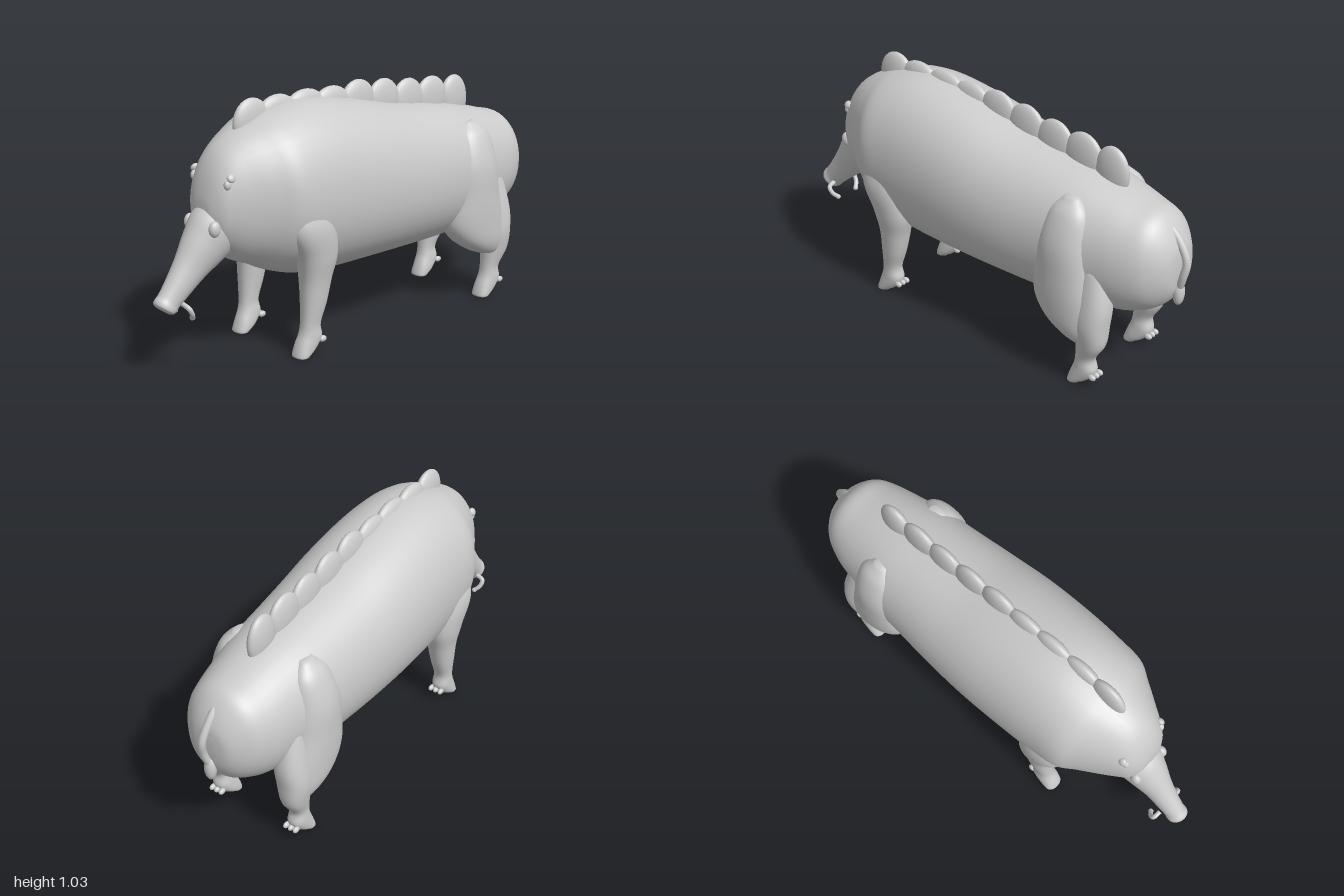
import * as THREE from 'three';

const material = new THREE.MeshStandardMaterial({ color: 0xcccccc, roughness: 0.8 });
const N = 40;

// Smooth skin over rings [x, y, z, half width, half depth, tilt in degrees, squareness];
// tilt 0 = upright ring travelling +z, tilt 90 = flat ring travelling down.
function loft(rings, steps = 6, power = 2) {
  const centres = new THREE.CatmullRomCurve3(rings.map(r => new THREE.Vector3(r[0], r[1], r[2])), false, 'catmullrom');
  const sizes = new THREE.CatmullRomCurve3(rings.map(r => new THREE.Vector3(r[3], r[4], r[5])), false, 'catmullrom');
  const rows = (rings.length - 1) * steps;
  const bend = v => Math.sign(v) * Math.abs(v) ** (2 / power);
  const pos = [], index = [];
  for (let i = 0; i <= rows; i++) {
    const c = centres.getPoint(i / rows), s = sizes.getPoint(i / rows);
    const t = THREE.MathUtils.degToRad(s.z);
    for (let j = 0; j < N; j++) {
      const q = j / N * Math.PI * 2;
      const u = bend(Math.cos(q)) * Math.max(s.x, 0.002), v = bend(Math.sin(q)) * Math.max(s.y, 0.002);
      pos.push(c.x + u, c.y + v * Math.cos(t), c.z + v * Math.sin(t));
      if (i < rows) {
        const a = i * N + j, b = i * N + (j + 1) % N;
        index.push(a, b, b + N, a, b + N, a + N);
      }
    }
  }
  // end caps
  const first = rings[0], last = rings[rings.length - 1], k = pos.length / 3;
  pos.push(...first.slice(0, 3), ...last.slice(0, 3));
  for (let j = 0; j < N; j++) {
    const n = (j + 1) % N;
    index.push(k, n, j, k + 1, rows * N + j, rows * N + n);
  }
  const g = new THREE.BufferGeometry();
  g.setAttribute('position', new THREE.Float32BufferAttribute(pos, 3));
  g.setIndex(index);
  g.computeVertexNormals();
  return g;
}

function tube(points, radius) {
  const curve = new THREE.CatmullRomCurve3(points.map(p => new THREE.Vector3(...p)));
  return new THREE.TubeGeometry(curve, 24, radius, 10);
}

export function createModel() {
  const group = new THREE.Group();
  const add = (name, geometry, parent = group) => {
    const mesh = new THREE.Mesh(geometry, material);
    mesh.name = name;
    parent.add(mesh);
    return mesh;
  };
  const blob = (name, x, y, z, rx, ry, rz, parent) => {
    const mesh = add(name, new THREE.SphereGeometry(1, 24, 16), parent);
    mesh.position.set(x, y, z);
    mesh.scale.set(rx, ry, rz);
    return mesh;
  };

  // trunk and head: z, underside, back line, half width
  const body = [
    [-0.955, 0.53, 0.60, 0.03], [-0.945, 0.46, 0.66, 0.085], [-0.91, 0.40, 0.725, 0.135],
    [-0.86, 0.36, 0.775, 0.175], [-0.78, 0.325, 0.797, 0.205], [-0.68, 0.305, 0.825, 0.225],
    [-0.55, 0.29, 0.855, 0.25], [-0.4, 0.28, 0.88, 0.262], [-0.2, 0.28, 0.912, 0.28],
    [0, 0.28, 0.96, 0.29], [0.2, 0.282, 0.995, 0.287], [0.35, 0.295, 1.0, 0.28],
    [0.48, 0.335, 0.975, 0.268], [0.56, 0.375, 0.945, 0.222], [0.64, 0.41, 0.905, 0.172],
    [0.7, 0.455, 0.855, 0.135], [0.74, 0.50, 0.785, 0.105], [0.765, 0.56, 0.70, 0.06], [0.772, 0.61, 0.64, 0.02],
  ].map(([z, lo, hi, w]) => [0, (lo + hi) / 2, z, w, (hi - lo) / 2, 0]);
  add('body', loft(body, 5, 2.12));

  // long tapering snout with a flared nose disc
  add('snout', loft([
    [0, 0.63, 0.6, 0.1, 0.1, 35], [0, 0.555, 0.7, 0.1, 0.115, 42], [0, 0.49, 0.765, 0.082, 0.098, 46],
    [0, 0.42, 0.83, 0.06, 0.074, 48], [0, 0.355, 0.89, 0.049, 0.058, 48], [0, 0.31, 0.933, 0.043, 0.05, 48],
    [0, 0.293, 0.95, 0.045, 0.05, 50], [0, 0.283, 0.96, 0.042, 0.044, 52], [0, 0.278, 0.964, 0.028, 0.03, 52],
  ]));

  // crest of overlapping lobes: z, top, height, half length
  const crest = new THREE.Group();
  crest.name = 'crest';
  group.add(crest);
  [
    [0.515, 1.035, 0.1, 0.09], [0.385, 1.03, 0.07, 0.095], [0.24, 1.03, 0.07, 0.1], [0.1, 1.022, 0.08, 0.1],
    [-0.045, 1.028, 0.1, 0.095], [-0.19, 1.012, 0.11, 0.095], [-0.335, 0.992, 0.11, 0.095],
    [-0.475, 0.982, 0.11, 0.095], [-0.615, 0.968, 0.11, 0.08],
  ].forEach(([z, top, h, len]) => blob('crestLobe', 0, top - h, z, 0.032, h, len, crest));

  // tail hanging behind the rump, with a tuft
  add('tail', tube([[0, 0.74, -0.87], [0, 0.68, -0.935], [0.005, 0.6, -0.98], [0.01, 0.54, -0.972], [0, 0.47, -0.95]], 0.016));
  blob('tailTuft', 0, 0.455, -0.95, 0.025, 0.055, 0.024);

  for (const s of [1, -1]) {
    const side = s > 0 ? 'left' : 'right';

    // foot rings shared by all legs, sloping forward to a flat toe
    const foot = z => [
      [s * 0.194, 0.135, z, 0.037, 0.042, 88], [s * 0.192, 0.085, z, 0.04, 0.05, 78],
      [s * 0.19, 0.04, z + 0.025, 0.042, 0.042, 72], [s * 0.19, 0.008, z + 0.048, 0.04, 0.03, 88],
      [s * 0.19, 0.001, z + 0.048, 0.034, 0.025, 90],
    ];
    add(side + 'FrontLeg', loft([
      [s * 0.18, 0.7, 0.41, 0.05, 0.07, 90], [s * 0.205, 0.55, 0.4, 0.075, 0.11, 90],
      [s * 0.205, 0.42, 0.365, 0.068, 0.09, 90], [s * 0.197, 0.32, 0.365, 0.058, 0.068, 90],
      [s * 0.196, 0.22, 0.375, 0.047, 0.055, 90], ...foot(0.39),
    ], 6, 2.3));
    add(side + 'HindLeg', loft([
      [s * 0.17, 0.55, -0.67, 0.05, 0.06, 90], [s * 0.185, 0.4, -0.69, 0.065, 0.072, 90],
      [s * 0.195, 0.3, -0.69, 0.065, 0.07, 90], [s * 0.196, 0.21, -0.688, 0.052, 0.062, 90], ...foot(-0.665),
    ], 6, 2.3));

    // haunch bulging over the hind leg
    add(side + 'Haunch', loft([
      [s * 0.16, 0.8, -0.55, 0.02, 0.03, 90], [s * 0.175, 0.74, -0.55, 0.06, 0.085, 90],
      [s * 0.175, 0.62, -0.545, 0.1, 0.12, 90], [s * 0.175, 0.48, -0.55, 0.104, 0.14, 90],
      [s * 0.175, 0.36, -0.565, 0.1, 0.16, 88], [s * 0.18, 0.27, -0.59, 0.085, 0.14, 82],
      [s * 0.185, 0.215, -0.615, 0.055, 0.085, 78], [s * 0.185, 0.2, -0.62, 0.02, 0.03, 78],
    ], 6, 2.2));

    // small claws at the back of each foot
    for (const z of [0.342, -0.713])
      for (const dx of [-0.024, 0, 0.024])
        blob(side + 'Dewclaw', s * 0.19 + dx, 0.06, z, 0.011, 0.013, 0.018);

    // eye with brow, cheek knob and tusk
    blob(side + 'Eye', s * 0.103, 0.745, 0.718, 0.014, 0.02, 0.016);
    const brow = blob(side + 'Brow', s * 0.112, 0.772, 0.708, 0.012, 0.018, 0.018);
    brow.rotation.z = s * 0.5;
    blob(side + 'Cheek', s * 0.077, 0.575, 0.765, 0.02, 0.032, 0.025);
    add(side + 'Tusk', tube([[s * 0.045, 0.3, 0.9], [s * 0.077, 0.288, 0.895], [s * 0.075, 0.262, 0.88], [s * 0.055, 0.24, 0.865]], 0.01));
    blob(side + 'TuskTip', s * 0.055, 0.24, 0.865, 0.011, 0.011, 0.011);
  }
  return group;
}
